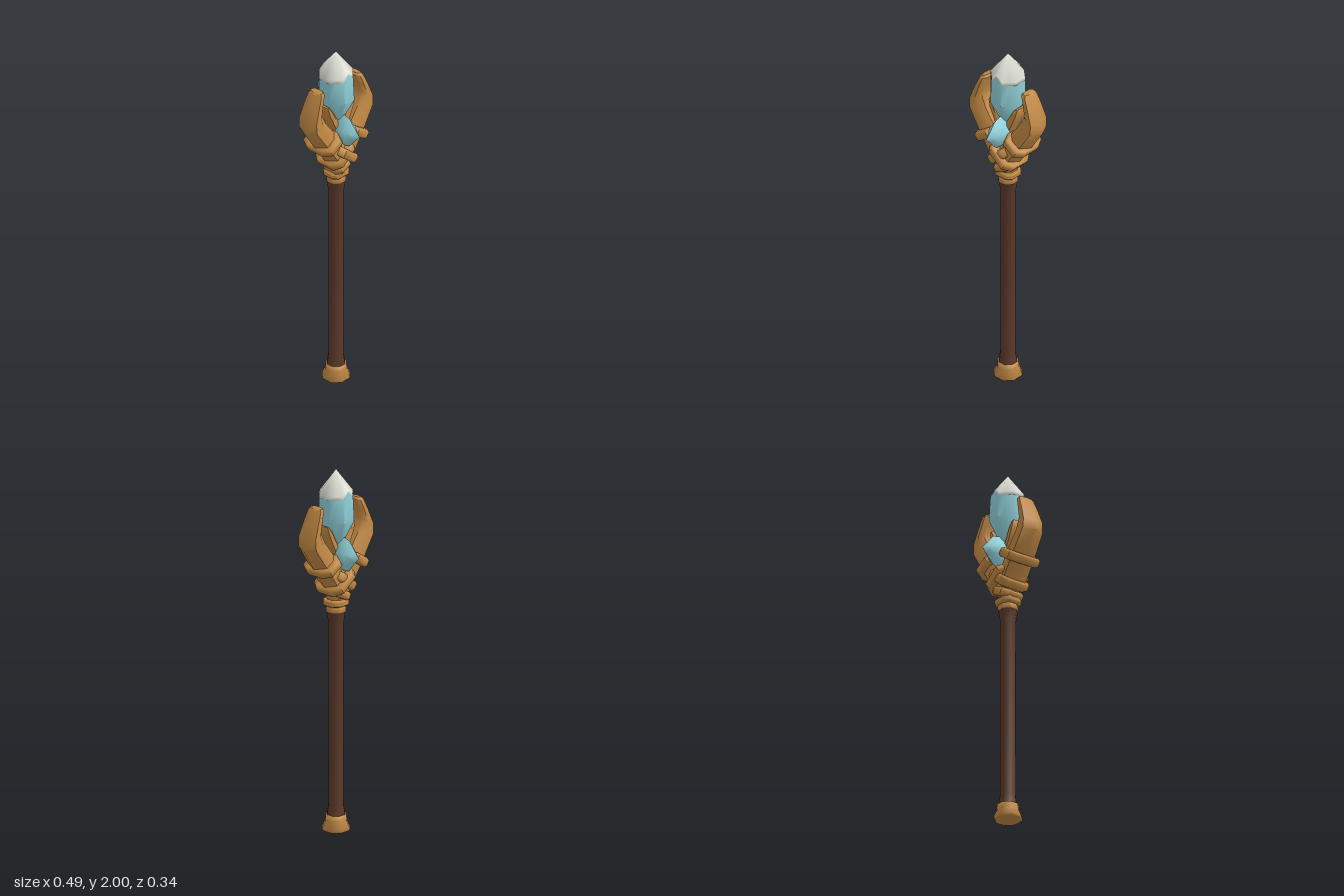
import * as THREE from 'three';
import { toCreasedNormals } from 'three/addons/utils/BufferGeometryUtils.js';

const material = (name, color) => {
  const m = new THREE.MeshStandardMaterial({ color });
  m.name = name;
  return m;
};

// Skin through cross-sections that run counter-clockwise around the axis
function loft(rings) {
  const centre = (r) => r.reduce((s, p) => s.add(p), new THREE.Vector3()).divideScalar(r.length);
  const first = rings[0], last = rings[rings.length - 1], n = first.length;
  const all = [first.map(() => centre(first)), ...rings, last.map(() => centre(last))];
  const pts = [];
  for (let i = 0; i < all.length - 1; i++) {
    for (let j = 0; j < n; j++) {
      const k = (j + 1) % n;
      const a = all[i][j], b = all[i][k], c = all[i + 1][k], d = all[i + 1][j];
      if (a.distanceTo(b) > 1e-6) pts.push(a, b, c);
      if (c.distanceTo(d) > 1e-6) pts.push(a, c, d);
    }
  }
  return new THREE.BufferGeometry().setFromPoints(pts);
}

// Octagonal turned part from [radius, y] pairs
const turned = (profile) => loft(profile.map(([r, y]) => Array.from({ length: 8 }, (_, i) => {
  const a = (i + 0.5) * Math.PI / 4;
  return new THREE.Vector3(r * Math.cos(a), y, -r * Math.sin(a));
})));

// Prong with a ridge along its outside: [inner x, inner y, outer x, outer y, half depth]
const prongShape = [[1, 0], [0.75, -1], [0.3, -1], [0, -0.6], [0, 0.6], [0.3, 1], [0.75, 1]];
const prong = (sections) => loft(sections.map(([ix, iy, ox, oy, d]) => prongShape.map(([t, z]) =>
  new THREE.Vector3(ix + (ox - ix) * t, iy + (oy - iy) * t, z * d))));

// Strap with cut corners and a hole
function strap(rx, rz, height) {
  const outline = [[1, 0.55], [0.6, 1], [-0.6, 1], [-1, 0.55], [-1, -0.55], [-0.6, -1], [0.6, -1], [1, -0.55]];
  const octagon = (x, z) => outline.map(([u, v]) => new THREE.Vector2(x * u, z * v));
  const bevel = 0.01;
  const shape = new THREE.Shape(octagon(rx - bevel, rz - bevel));
  shape.holes.push(new THREE.Path(octagon(rx - 0.038, rz - 0.038)));
  const depth = height - 2 * bevel;
  const g = new THREE.ExtrudeGeometry(shape, {
    depth, bevelThickness: bevel, bevelSize: bevel, bevelSegments: 1,
  });
  return g.translate(0, 0, -depth / 2).rotateX(Math.PI / 2);
}

// Ring of 16 points on an octagon, so each flat side has a middle point
const crystalRing = (rx, rz, y, peak = 0) => Array.from({ length: 16 }, (_, i) => {
  const a = i * Math.PI / 8;
  const r = i % 2 ? 1 / Math.cos(Math.PI / 8) : 1;
  return new THREE.Vector3(r * rx * Math.cos(a), y + (i % 8 === 4 ? peak : 0), -r * rz * Math.sin(a));
});

export function createModel() {
  const wood = material('dark wood', 0x5b3829);
  const gold = material('bronze', 0xc18844);
  const blue = material('pale blue crystal', 0x93d5de);
  const white = material('white crystal', 0xdedfd4);

  const model = new THREE.Group();
  model.name = 'staff';
  const add = (name, geometry, mat, parent = model, crease = 0.85) => {
    const mesh = new THREE.Mesh(toCreasedNormals(geometry, crease), mat);
    mesh.name = name;
    parent.add(mesh);
    return mesh;
  };

  // Pole with slightly flared ends
  add('pole', turned([[0.054, 0.07], [0.043, 0.14], [0.043, 1.15], [0.053, 1.215]]), wood);

  // Foot and collar
  add('foot', turned([[0.072, 0], [0.08, 0.012], [0.062, 0.05], [0.058, 0.054],
    [0.062, 0.06], [0.06, 0.085], [0.05, 0.088]]), gold, model, 1.6);
  add('collar', turned([[0.048, 1.208], [0.056, 1.216], [0.056, 1.236], [0.05, 1.245],
    [0.052, 1.29], [0.072, 1.34], [0.07, 1.42], [0.04, 1.47]]), gold);
  const collarStrap = add('collarStrap', strap(0.064, 0.06, 0.038), gold);
  collarStrap.position.y = 1.265;
  const upperStrap = add('upperCollarStrap', strap(0.06, 0.074, 0.046), gold);
  upperStrap.position.y = 1.315;
  upperStrap.rotation.z = 0.45;

  // Crossed straps under the fork
  [-1, 1].forEach((s) => {
    const cross = add(s < 0 ? 'fallingCrossStrap' : 'risingCrossStrap', strap(0.096, s < 0 ? 0.102 : 0.094, 0.052), gold);
    cross.position.set(-s * 0.008, 1.39, 0);
    cross.rotation.z = s * 0.68;
  });

  // Each side of the fork: large horn, its strap and a small inner claw
  ['left', 'right'].forEach((side, i) => {
    const half = new THREE.Group();
    half.name = side + 'Fork';
    half.rotation.y = i * Math.PI;
    model.add(half);
    add(side + 'Horn', prong([
      [-0.03, 1.34, 0.04, 1.28, 0.055],
      [-0.01, 1.43, 0.09, 1.37, 0.072],
      [0.05, 1.53, 0.16, 1.47, 0.072],
      [0.122, 1.625, 0.245, 1.6, 0.066],
      [0.152, 1.69, 0.238, 1.655, 0.063],
      [0.138, 1.755, 0.203, 1.74, 0.055],
      [0.122, 1.808, 0.174, 1.802, 0.047],
      [0.13, 1.82, 0.165, 1.815, 0.038],
    ]), gold, half);
    const band = add(side + 'HornStrap', strap(0.073, 0.102, 0.052), gold, half);
    band.position.set(0.1, 1.49, 0);
    band.rotation.z = -0.58;
    add(side + 'Claw', prong([
      [-0.01, 1.55, 0.03, 1.49, 0.045],
      [0.035, 1.63, 0.075, 1.59, 0.045],
      [0.055, 1.67, 0.1, 1.645, 0.045],
      [0.08, 1.695, 0.106, 1.69, 0.042],
      [0.086, 1.702, 0.102, 1.702, 0.036],
    ]), gold, half);
  });

  // Main crystal: blue body and white point
  const shoulder = crystalRing(0.09, 0.09, 1.852, 0.044);
  add('crystalBody', loft([crystalRing(0.015, 0.015, 1.56), crystalRing(0.04, 0.05, 1.62),
    crystalRing(0.086, 0.1, 1.725), shoulder]), blue);
  add('crystalPoint', loft([shoulder, crystalRing(0.091, 0.086, 1.872, 0.026),
    crystalRing(0, 0, 2)]), white, model, 2);

  // Small crystals pointing forward and back
  const girdle = [[0, 0.09], [-0.048, 0.02], [-0.042, -0.04], [0, -0.09], [0.042, -0.04], [0.048, 0.02]];
  const facet = (k, z) => girdle.map(([x, y]) => new THREE.Vector3(x * k, 1.54 + y * k, z));
  ['front', 'back'].forEach((side, i) => {
    const gem = add(side + 'Crystal', loft([facet(0.75, 0.0), facet(1.04, 0.06), facet(0.92, 0.1),
      facet(0.42, 0.137), facet(0, 0.171)]), blue, model, 1.3);
    gem.rotation.y = i * Math.PI;
  });

  return model;
}
